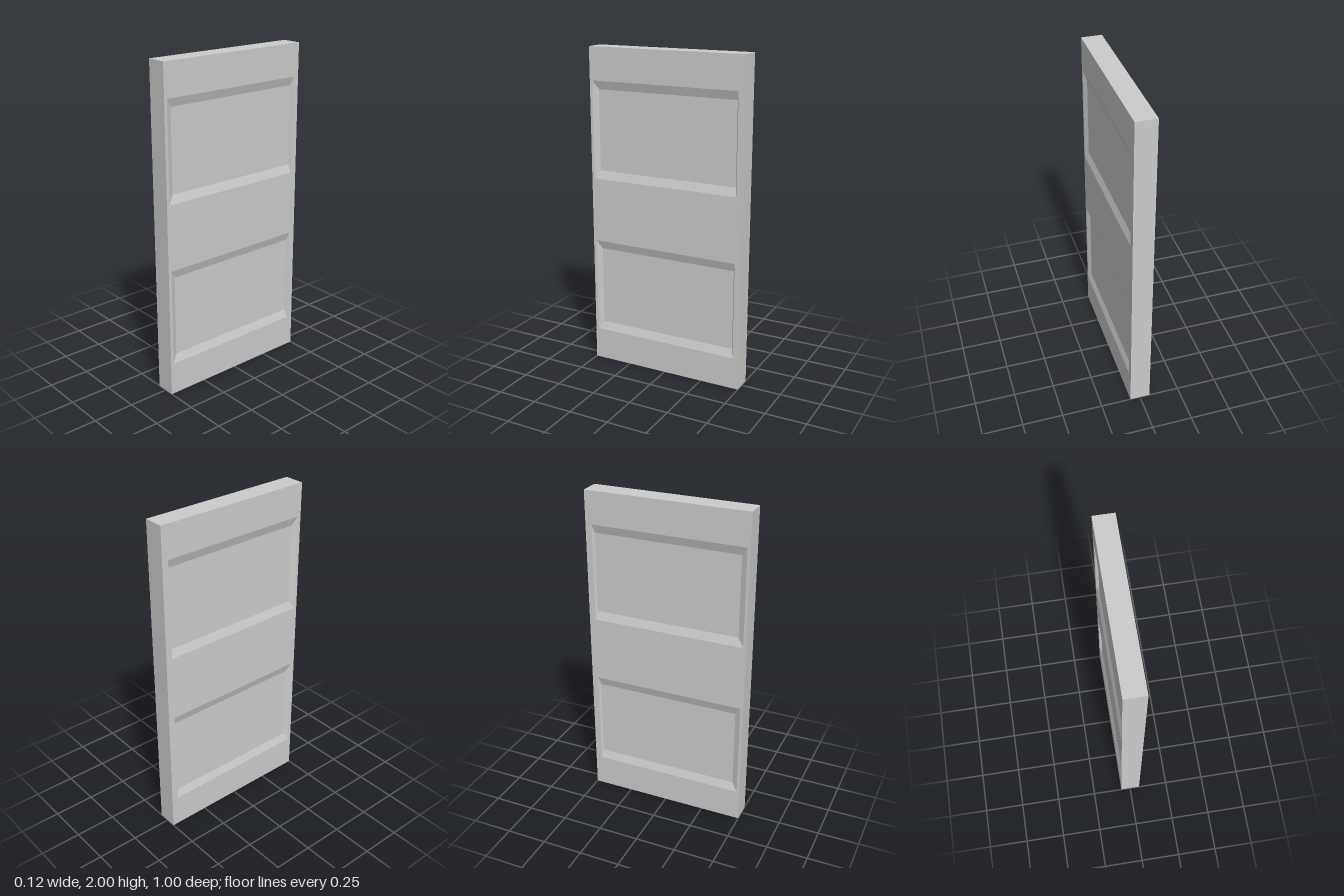
import * as THREE from 'three';

const W = 0.5, H = 2, T = 0.0625; // half width, height, half thickness
const DEPTH = 0.016;              // depth of the recessed panels

// Rectangle loop, counter-clockwise seen from the face
const rect = (u0, u1, v0, v1, w) => [[u0, v0, w], [u1, v0, w], [u1, v1, w], [u0, v1, w]];

// Four flat quads joining two rectangle loops, optionally closed by the second loop
function loft(a, b, cap = false) {
  const quads = a.map((p, i) => [p, a[(i + 1) % 4], b[(i + 1) % 4], b[i]]);
  if (cap) quads.push(b);
  const pos = quads.flatMap(([p, q, r, s]) => [p, q, r, p, r, s]).flat();
  const geo = new THREE.BufferGeometry();
  geo.setAttribute('position', new THREE.Float32BufferAttribute(pos, 3));
  geo.computeVertexNormals();
  return geo;
}

export function createModel() {
  const model = new THREE.Group();
  model.name = 'panelDoor';
  const material = new THREE.MeshStandardMaterial({ color: 0xcccccc, flatShading: true });

  const add = (parent, name, geo) => {
    geo.rotateY(Math.PI / 2); // the face plane looks along +x
    const mesh = new THREE.Mesh(geo, material);
    mesh.name = name;
    parent.add(mesh);
  };

  // Narrow edges around the slab
  add(model, 'doorEdges', loft(rect(-W, W, 0, H, -T), rect(-W, W, 0, H, T)));

  // Both broad faces, each with two bevelled recesses
  for (const side of ['left', 'right']) {
    const face = new THREE.Group();
    face.name = side + 'Face';
    const outline = new THREE.Shape(rect(-W, W, 0, H, 0).map(([u, v]) => new THREE.Vector2(u, v)));
    for (const [name, v] of [['lowerPanel', 0.2], ['upperPanel', 1.2]]) {
      const outer = rect(-0.482, 0.461, v, v + 0.6, T);
      const inner = rect(-0.447, 0.451, v + 0.052, v + 0.548, T - DEPTH);
      outline.holes.push(new THREE.Path(outer.map(([u, y]) => new THREE.Vector2(u, y))));
      add(face, name, loft(outer, inner, true));
    }
    add(face, 'doorFrame', new THREE.ShapeGeometry(outline).translate(0, 0, T));
    // Half a turn about z keeps the uneven panel margins on the same edges
    if (side === 'right') {
      face.rotation.z = Math.PI;
      face.position.y = H;
    }
    model.add(face);
  }
  return model;
}
